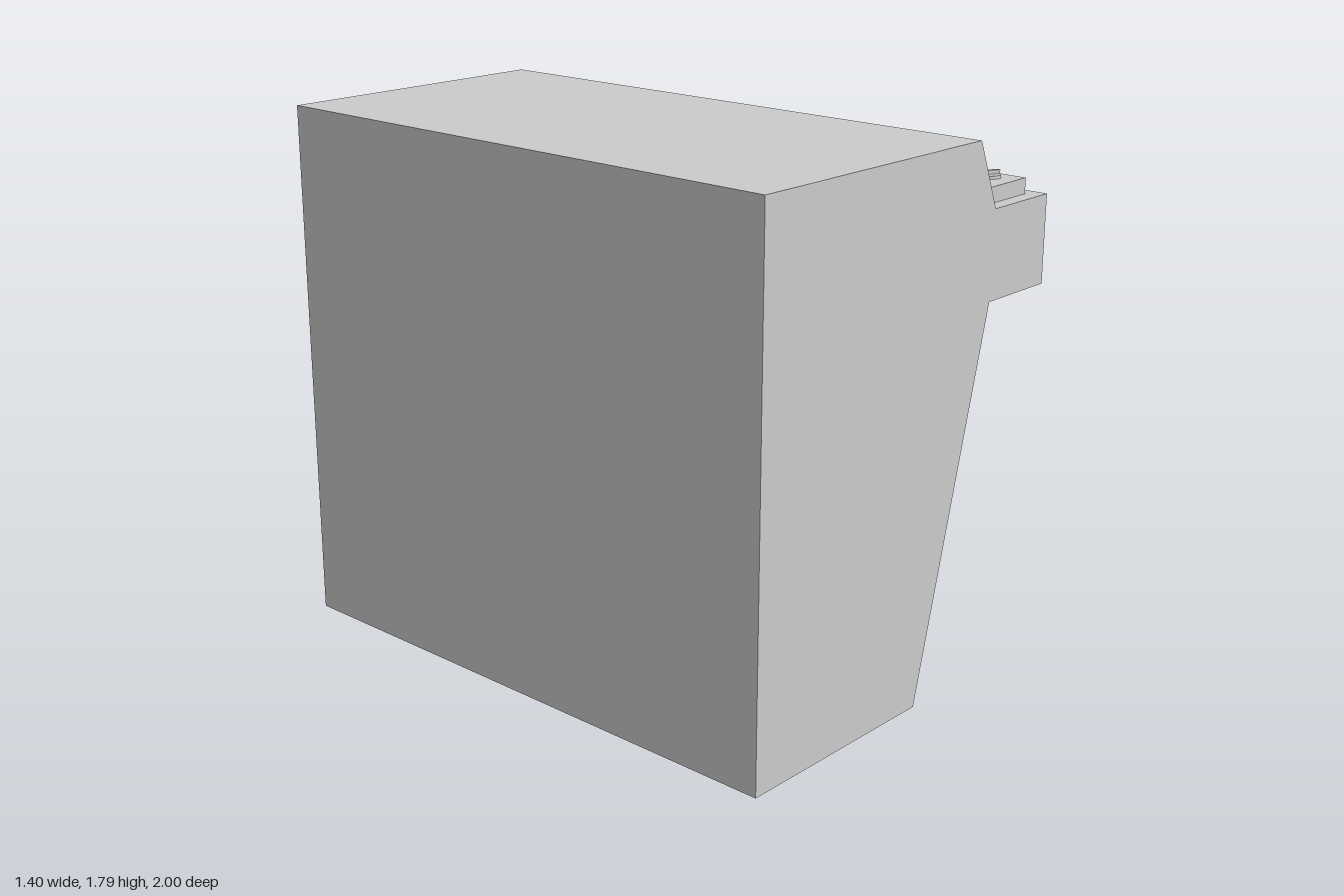
import * as THREE from 'three';

const material = new THREE.MeshStandardMaterial({ color: 0xcccccc, flatShading: true });
const smooth = new THREE.MeshStandardMaterial({ color: 0xcccccc });

function add(parent, name, geometry, x = 0, y = 0, z = 0, mat = material) {
  const mesh = new THREE.Mesh(geometry, mat);
  mesh.name = name;
  mesh.position.set(x, y, z);
  parent.add(mesh);
  return mesh;
}

// Box given by its limits on each axis
function block(parent, name, [x0, x1], [y0, y1], [z0, z1]) {
  return add(parent, name, new THREE.BoxGeometry(x1 - x0, y1 - y0, z1 - z0),
    (x0 + x1) / 2, (y0 + y1) / 2, (z0 + z1) / 2);
}

// Black key: flat top, sloping front, seen from the side and extruded across
function blackKeyGeometry(width) {
  const side = new THREE.Shape([[0.4, 1.6], [0.565, 1.6], [0.557, 1.63], [0.4, 1.63]]
    .map(([x, y]) => new THREE.Vector2(x, y)));
  return new THREE.ExtrudeGeometry(side, { depth: width, bevelEnabled: false })
    .translate(0, 0, -width / 2);
}

function createKnob(angle) {
  const knob = new THREE.Group();
  knob.name = 'knob';
  add(knob, 'knobSkirt', new THREE.CylinderGeometry(0.036, 0.037, 0.01, 32), 0, 0.005, 0, smooth);
  const grip = add(knob, 'knobGrip', new THREE.BoxGeometry(0.012, 0.014, 0.068), 0, 0.016, 0);
  grip.rotation.y = angle;
  return knob;
}

export function createModel() {
  const model = new THREE.Group();
  model.name = 'consoleOrgan';

  // Cabinet: side profile extruded along its width
  const profile = [[-0.7, 0], [0.08, 0], [0.4, 1.275], [0.7, 1.275], [0.7, 1.57],
    [0.41, 1.57], [0.315, 1.795], [-0.7, 1.795]];
  const shape = new THREE.Shape(profile.map(([x, y]) => new THREE.Vector2(x, y)));
  add(model, 'cabinet', new THREE.ExtrudeGeometry(shape, { depth: 2, bevelEnabled: false }), 0, 0, -1);

  // Keyboard unit: control panel, end block and key bed
  const keyboard = new THREE.Group();
  keyboard.name = 'keyboard';
  model.add(keyboard);
  const depth = [0.39, 0.65];
  block(keyboard, 'controlPanel', depth, [1.57, 1.622], [0.46, 0.95]);
  block(keyboard, 'lowerPanel', depth, [1.57, 1.617], [0.313, 0.46]);
  block(keyboard, 'endBlock', depth, [1.57, 1.614], [-0.95, -0.8]);
  block(keyboard, 'keyBed', [0.39, 0.64], [1.57, 1.585], [-0.8, 0.313]);

  // 21 white keys, the lowest at +z, with black keys where the scale has them
  const pitch = 0.053, start = 0.312;
  const scale = 'CDEFGAB', hasBlack = 'CDFGA';
  const blackGeometry = blackKeyGeometry(0.024);
  for (let i = 0; i < 21; i++) {
    const z = start - i * pitch;
    block(keyboard, 'whiteKey', [0.4, 0.648], [1.575, 1.614], [z - pitch + 0.002, z - 0.002]);
    const note = scale[(i + 4) % 7];
    if (hasBlack.includes(note) && i < 20) {
      add(keyboard, 'blackKey', blackGeometry, 0, 0, z - pitch);
    }
  }

  // Knobs, indicator lamp and small levers
  [[0.55, 0], [0.705, 1.05], [0.86, 1.05]].forEach(([z, angle]) => {
    const knob = createKnob(angle);
    knob.position.set(0.58, 1.622, z);
    keyboard.add(knob);
  });
  add(keyboard, 'lamp', new THREE.SphereGeometry(0.01, 16, 10), 0.505, 1.624, 0.86, smooth);
  const lever = add(keyboard, 'switchLever', new THREE.CylinderGeometry(0.006, 0.004, 0.03, 12),
    0.505, 1.628, 0.545, smooth);
  lever.rotation.x = 0.6;
  return model;
}
